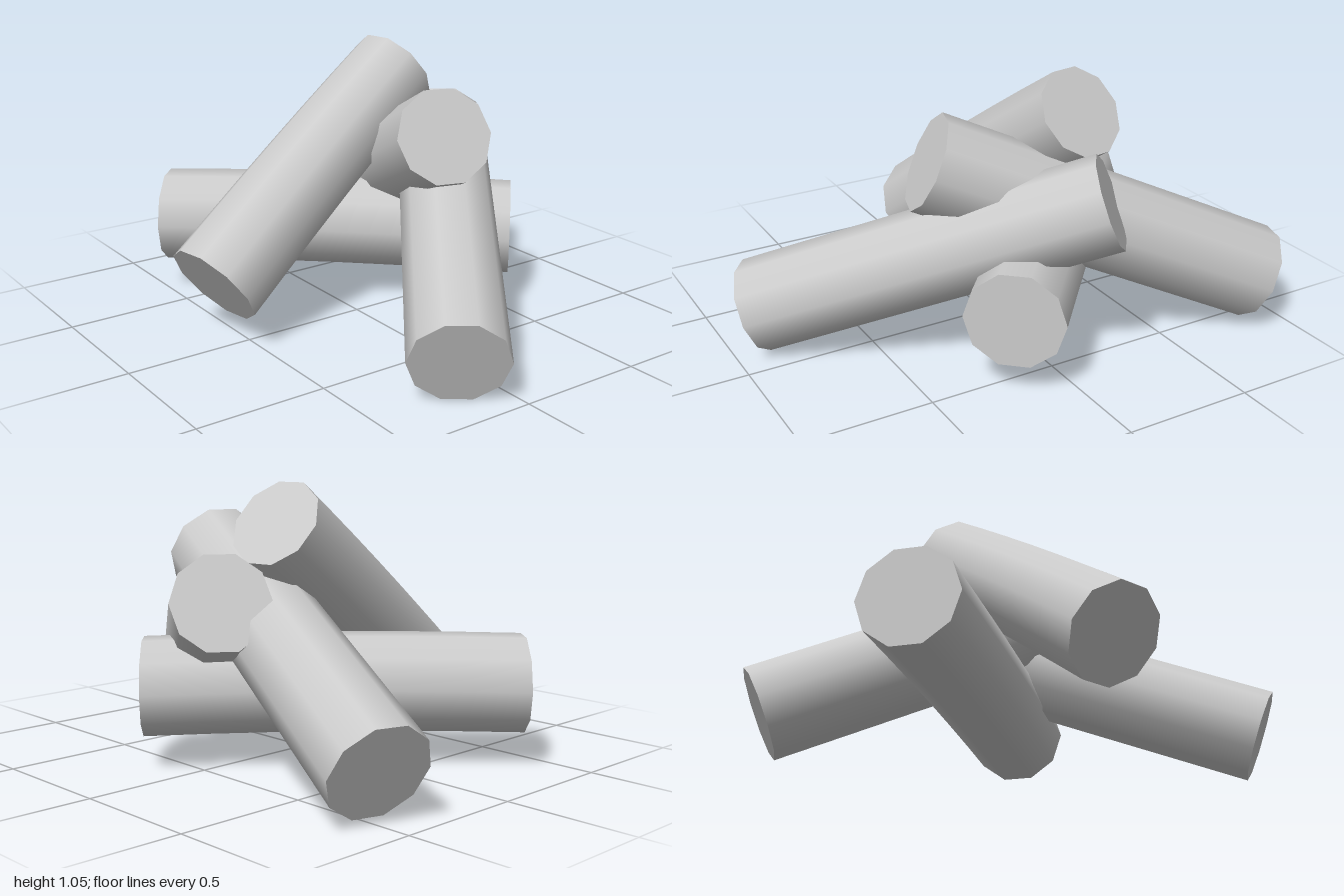
import * as THREE from 'three';

const material = new THREE.MeshStandardMaterial({ color: 0xcccccc });

// Ten-sided log from point a to point b, with an optional slight upward bow
function makeLog(name, a, b, ra, rb, bow = 0) {
  const start = new THREE.Vector3(...a), end = new THREE.Vector3(...b);
  const length = start.distanceTo(end);
  const geo = new THREE.CylinderGeometry(rb, ra, length, 10, 6);
  geo.rotateY(Math.PI / 10); // flat facet on top

  // Local y runs along the log, local x stays level
  const y = end.clone().sub(start).normalize();
  const x = new THREE.Vector3(0, 1, 0).cross(y).normalize();
  const z = x.clone().cross(y);
  geo.applyMatrix4(new THREE.Matrix4().makeBasis(x, y, z));

  // Lift the middle of the log a little
  const p = geo.attributes.position, v = new THREE.Vector3();
  for (let i = 0; i < p.count; i++) {
    const t = v.fromBufferAttribute(p, i).dot(y) / (length / 2);
    p.setY(i, p.getY(i) + bow * Math.max(0, 1 - t * t));
  }

  const mesh = new THREE.Mesh(geo, material);
  mesh.name = name;
  mesh.position.copy(start).add(end).multiplyScalar(0.5);
  return mesh;
}

export function createModel() {
  const group = new THREE.Group();
  group.name = 'logPile';
  group.add(
    makeLog('frontLog', [-0.035, 0.25, 0.625], [-0.21, 0.925, -0.335], 0.19, 0.177, 0.01),
    makeLog('leftLog', [0.88, 0.173, 0.21], [-0.19, 0.66, -0.57], 0.181, 0.181),
    makeLog('rightLog', [-0.915, 0.2, -0.545], [0.333, 0.777, -0.16], 0.187, 0.187),
    makeLog('bottomLog', [-0.72, 0.312, 0.45], [0.225, 0.308, -0.6], 0.187, 0.187, 0.012),
  );
  return group;
}
